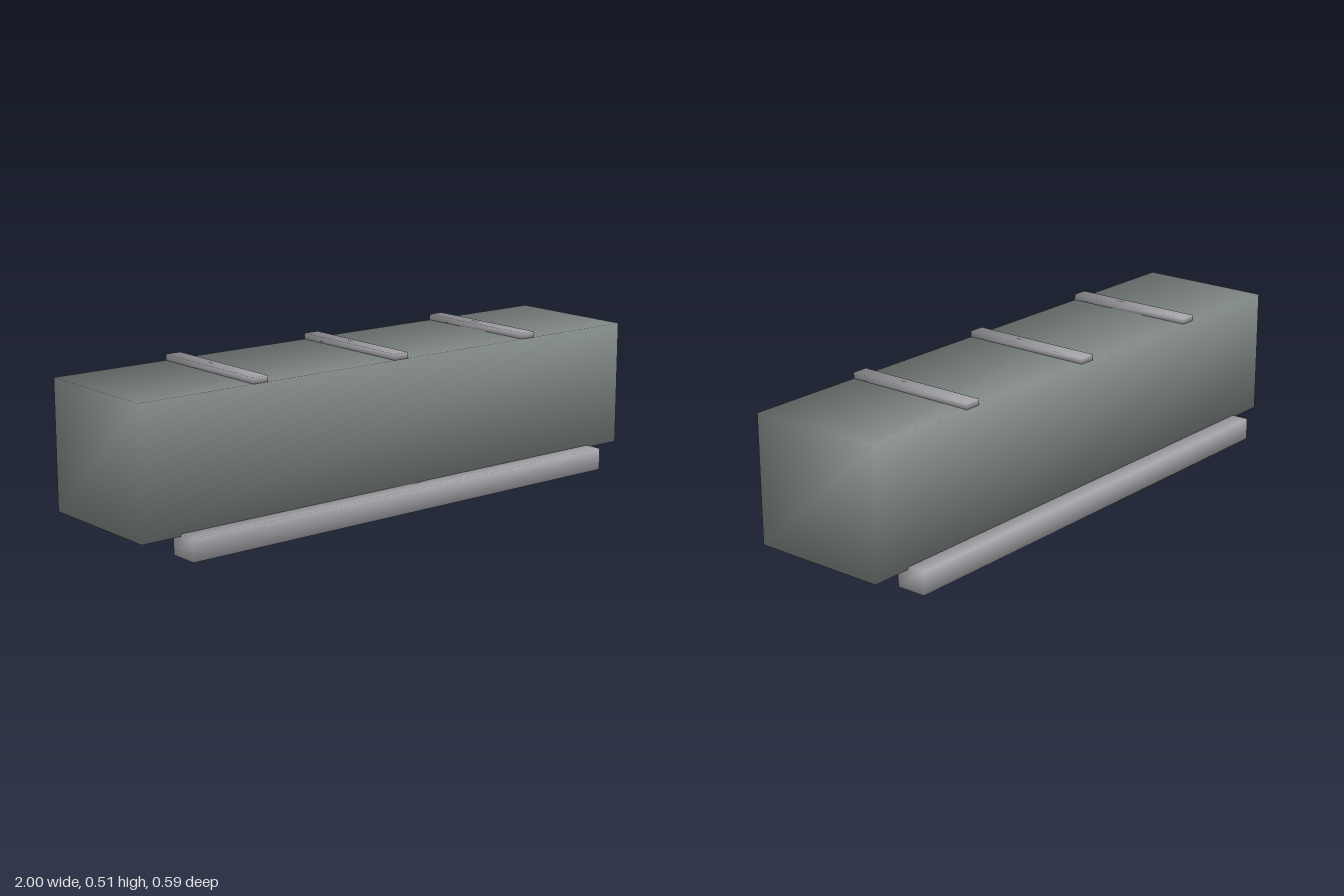
import * as THREE from 'three';

// Box whose normals blend smoothly around every corner
function softBox(w, h, d) {
  const g = new THREE.BoxGeometry(w, h, d);
  const p = g.attributes.position;
  const n = new THREE.Vector3();
  for (let i = 0; i < p.count; i++) {
    n.set(Math.sign(p.getX(i)), Math.sign(p.getY(i)), Math.sign(p.getZ(i))).normalize();
    g.attributes.normal.setXYZ(i, n.x, n.y, n.z);
  }
  return g;
}

export function createModel() {
  const group = new THREE.Group();
  const bodyGrey = new THREE.MeshStandardMaterial({ name: 'bodyGrey', color: 0x7f8784 });
  const lightMetal = new THREE.MeshStandardMaterial({ name: 'lightMetal', color: 0xa6a6ab });

  const add = (name, material, size, position) => {
    const mesh = new THREE.Mesh(softBox(...size), material);
    mesh.name = name;
    mesh.position.set(...position);
    group.add(mesh);
  };

  // Long main block
  add('body', bodyGrey, [2, 0.426, 0.466], [0, 0.28, 0]);

  // Skid rails under both long edges
  for (const [name, side] of [['frontRail', 1], ['backRail', -1]]) {
    add(name, lightMetal, [1.72, 0.075, 0.102], [0, 0.0375, side * 0.243]);
  }

  // Straps across the top
  [-0.56, 0, 0.56].forEach((x, i) => {
    add(`strap${i + 1}`, lightMetal, [0.055, 0.02, 0.466], [x, 0.503, 0]);
  });

  return group;
}
